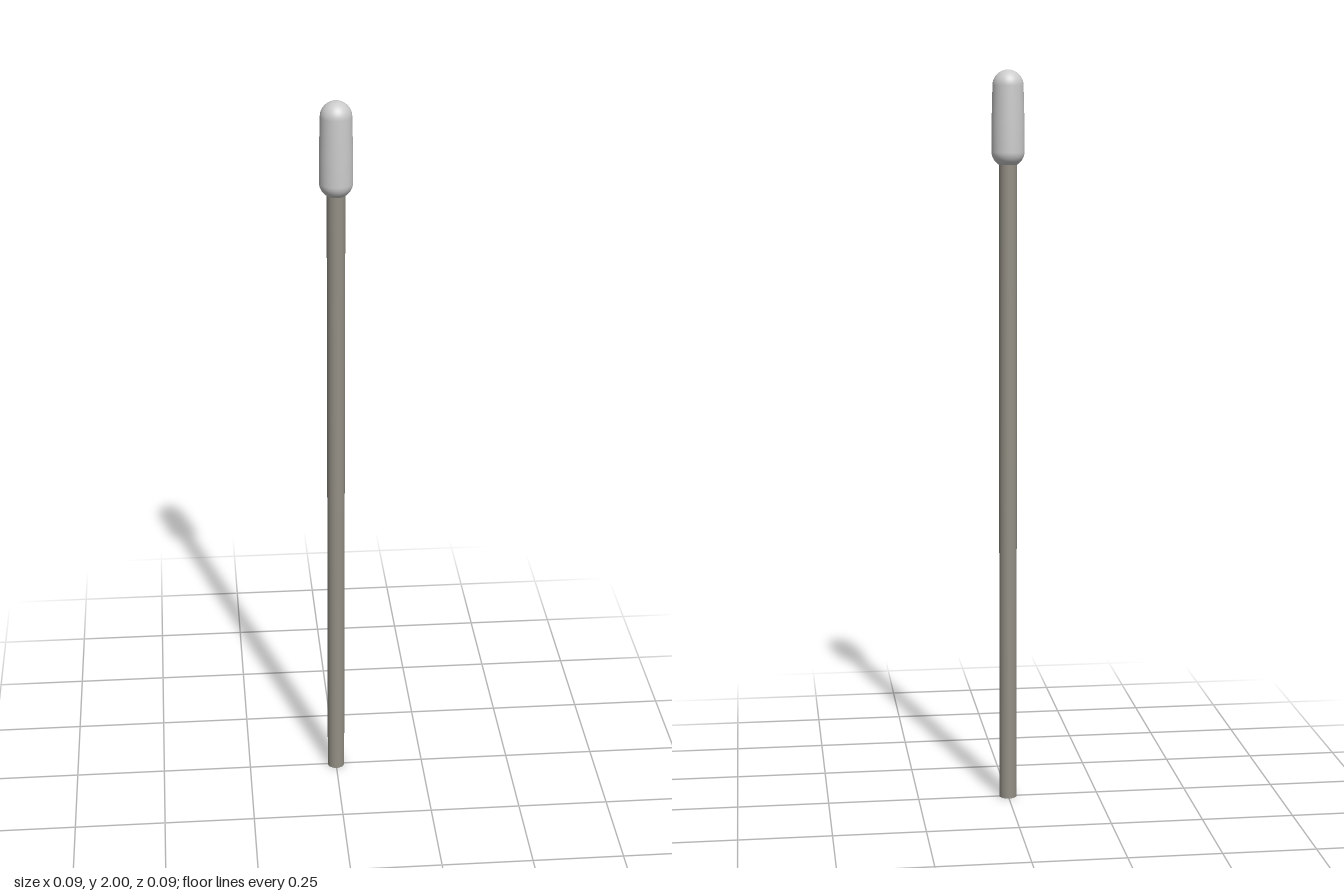
import * as THREE from 'three';

export function createModel() {
  const model = new THREE.Group();
  model.name = 'swab';

  // Slim straight stick, running a little way into the tip
  const stickLength = 1.78;
  const stick = new THREE.Mesh(
    new THREE.CylinderGeometry(0.024, 0.024, stickLength, 32),
    new THREE.MeshStandardMaterial({ color: 0x938f85 })
  );
  stick.name = 'stick';
  stick.position.y = stickLength / 2;
  model.add(stick);

  // Padded tip: rounded ends joined by a very slightly tapered side
  const bottomRadius = 0.0435, topRadius = 0.041;
  const bottom = 1.745, top = 2, steps = 12;
  const profile = [];
  for (let i = 0; i <= steps; i++) {
    const a = (i / steps) * Math.PI / 2;
    profile.push(new THREE.Vector2(
      bottomRadius * Math.sin(a), bottom + 0.04 * (1 - Math.cos(a))));
  }
  profile.push(new THREE.Vector2(bottomRadius, 1.86));
  for (let i = 0; i <= steps; i++) {
    const a = (i / steps) * Math.PI / 2;
    profile.push(new THREE.Vector2(
      topRadius * Math.cos(a), top - topRadius * (1 - Math.sin(a))));
  }
  const tip = new THREE.Mesh(
    new THREE.LatheGeometry(profile, 40),
    new THREE.MeshStandardMaterial({ color: 0xcccccc })
  );
  tip.name = 'tip';
  model.add(tip);

  return model;
}
